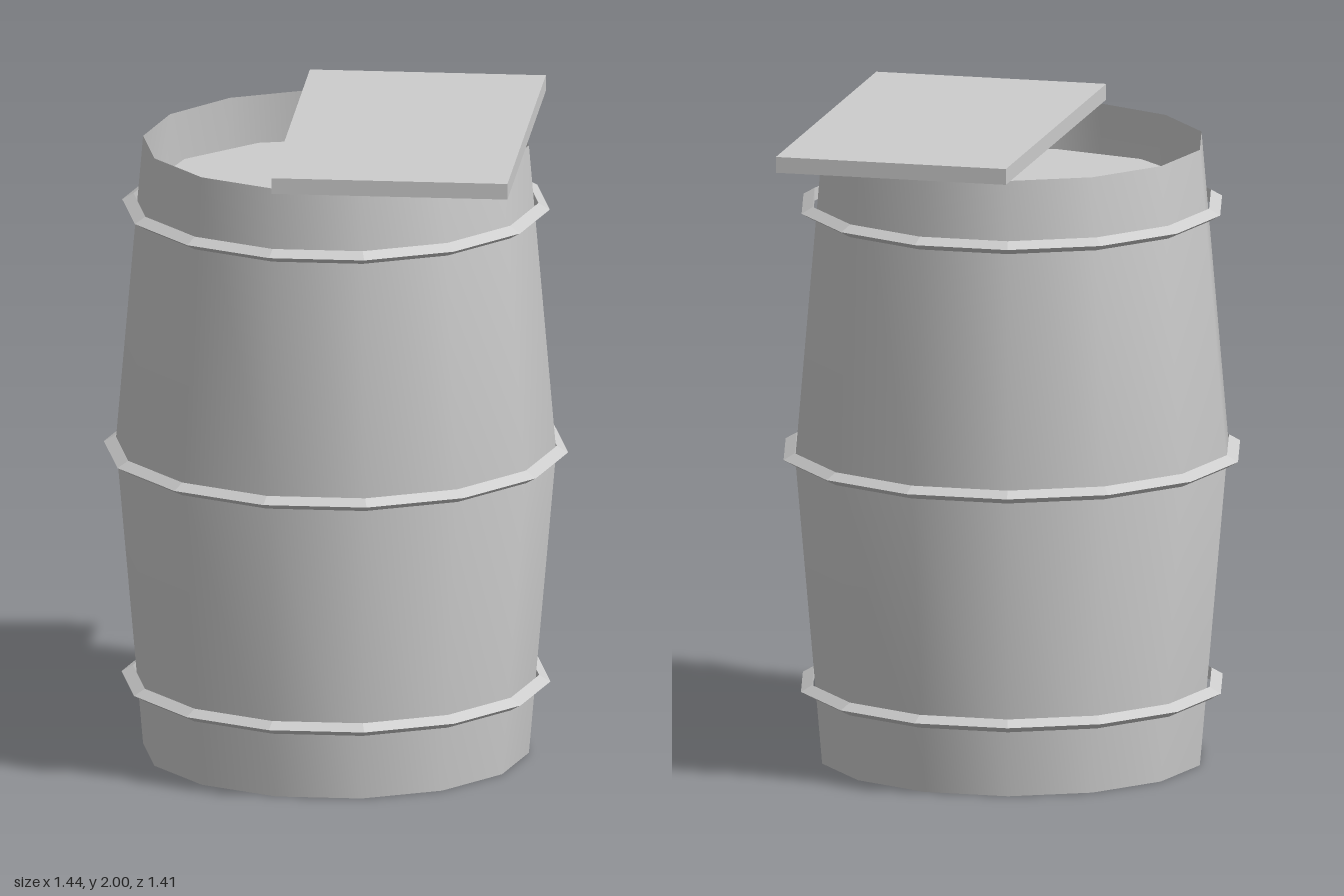
import * as THREE from 'three';

const SIDES = 14;

export function createModel() {
  const group = new THREE.Group();
  group.name = 'barrel';
  const grey = new THREE.MeshStandardMaterial({ color: 0xcccccc, side: THREE.DoubleSide });
  grey.name = 'plain grey';

  const add = (name, geometry, x = 0, y = 0, z = 0) => {
    const mesh = new THREE.Mesh(geometry, grey);
    mesh.name = name;
    mesh.position.set(x, y, z);
    group.add(mesh);
  };

  // Bulging thin wall, open at the top, with a vertex on the x axis
  const profile = [[0.6, 0], [0.685, 0.97], [0.6, 1.95]].map(([r, y]) => new THREE.Vector2(r, y));
  add('barrelWall', new THREE.LatheGeometry(profile, SIDES, Math.PI / 2));

  // Flat base
  add('barrelBase', new THREE.CircleGeometry(0.6, SIDES).rotateX(Math.PI / 2));

  // Recessed twelve-sided disc just below the rim
  add('innerDisc', new THREE.CircleGeometry(0.575, 12).rotateX(-Math.PI / 2), 0, 1.8);

  // Three hoops with a triangular section pointing outwards
  const tube = 0.0235;
  [['lowerHoop', 0.667, 0.23], ['middleHoop', 0.722, 0.967], ['upperHoop', 0.665, 1.745]].forEach(([name, outer, y]) => {
    const hoop = new THREE.TorusGeometry(outer - tube, tube, 3, SIDES).rotateX(Math.PI / 2).toNonIndexed();
    hoop.computeVertexNormals();
    add(name, hoop, 0, y);
  });

  // Loose board lying across the rim
  add('topBoard', new THREE.BoxGeometry(0.734, 0.05, 1.284), 0.226, 1.975);

  return group;
}
